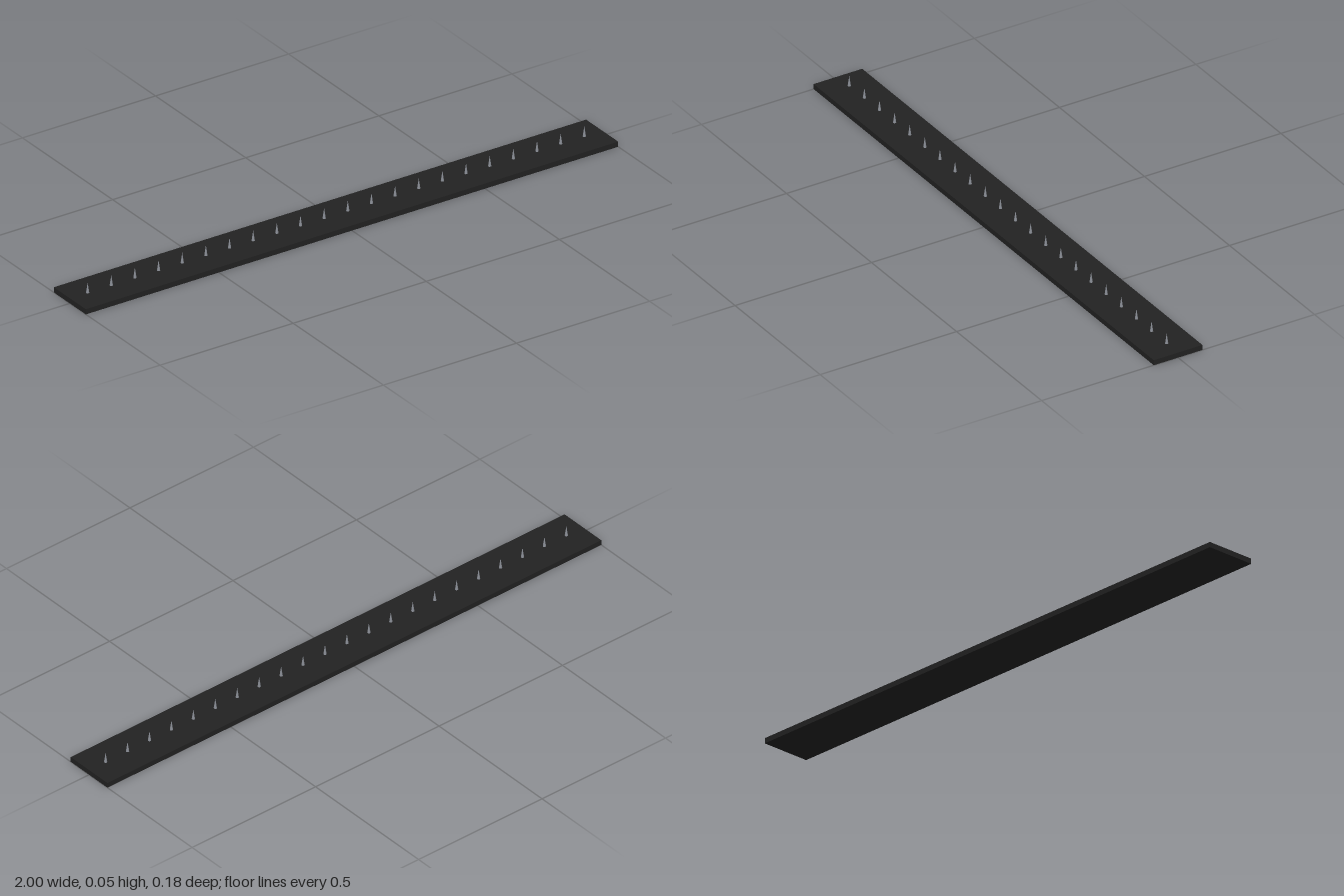
import * as THREE from 'three';

export function createModel() {
  const model = new THREE.Group();
  model.name = 'spikeStrip';

  const rubber = new THREE.MeshStandardMaterial({ color: 0x222222 });
  rubber.name = 'black rubber';
  const steel = new THREE.MeshStandardMaterial({ color: 0x888c94 });
  steel.name = 'grey steel';

  // Flat base strip
  const baseHeight = 0.018;
  const base = new THREE.Mesh(new THREE.BoxGeometry(2, baseHeight, 0.178), rubber);
  base.name = 'baseStrip';
  base.position.y = baseHeight / 2;
  model.add(base);

  // Row of slim spikes along the centre line
  const count = 22;
  const spacing = 2 * 0.933 / (count - 1);
  const spikeHeight = 0.036;
  const spikeGeometry = new THREE.ConeGeometry(0.0054, spikeHeight, 8);
  const spikes = new THREE.Group();
  spikes.name = 'spikes';
  for (let i = 0; i < count; i++) {
    const spike = new THREE.Mesh(spikeGeometry, steel);
    spike.name = 'spike';
    spike.position.set((i - (count - 1) / 2) * spacing, baseHeight + spikeHeight / 2, 0);
    spikes.add(spike);
  }
  model.add(spikes);

  return model;
}
